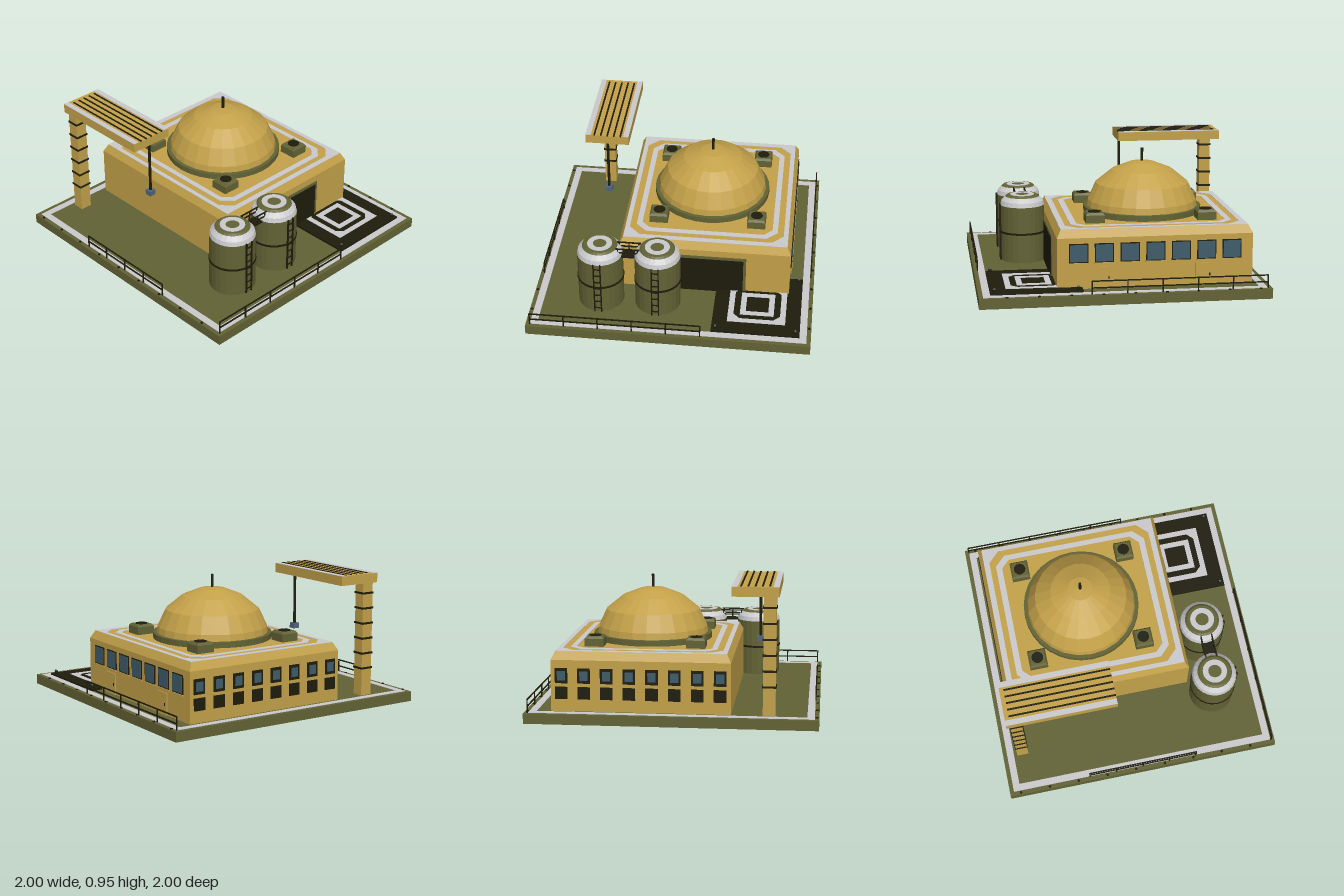
import * as THREE from 'three';

const mat = (name, color) => Object.assign(new THREE.MeshStandardMaterial({ color }), { name });

export function createModel() {
  const olive = mat('olive', 0x626235), gold = mat('gold', 0xc3a149), pale = mat('pale grey', 0xcacacd),
    dark = mat('near black', 0x1e1c0b), glass = mat('window blue', 0x3f5c6a), steel = mat('hook steel', 0x52647a),
    under = mat('underside brown', 0x4c482a);
  const model = new THREE.Group();
  model.name = 'facility';

  const add = (parent, name, geo, m, x = 0, y = 0, z = 0) => {
    const mesh = new THREE.Mesh(geo, m);
    mesh.name = name;
    mesh.position.set(x, y, z);
    parent.add(mesh);
    return mesh;
  };
  const group = (name, x = 0, y = 0, z = 0) => {
    const g = new THREE.Group();
    g.name = name;
    g.position.set(x, y, z);
    model.add(g);
    return g;
  };
  const box = (parent, name, m, x0, x1, y0, y1, z0, z1) =>
    add(parent, name, new THREE.BoxGeometry(x1 - x0, y1 - y0, z1 - z0), m, (x0 + x1) / 2, (y0 + y1) / 2, (z0 + z1) / 2);
  const faceted = (geo) => {
    const g = geo.index ? geo.toNonIndexed() : geo;
    g.computeVertexNormals();
    return g;
  };
  const lathe = (pts, n = 24) => faceted(new THREE.LatheGeometry(pts.map(p => new THREE.Vector2(...p)), n));
  const cyl = (r, h, n = 24) => faceted(new THREE.CylinderGeometry(r, r, h, n));
  // box whose top face is drawn in, standing on y = 0
  const frustum = (w, h, d, inset) => {
    const g = new THREE.BoxGeometry(w, h, d).translate(0, h / 2, 0), p = g.attributes.position;
    for (let i = 0; i < p.count; i++) if (p.getY(i) > h / 2) {
      p.setX(i, p.getX(i) - Math.sign(p.getX(i)) * inset);
      p.setZ(i, p.getZ(i) - Math.sign(p.getZ(i)) * inset);
    }
    return faceted(g);
  };
  // rectangle outline with corners cut by c
  const outline = (w, d, c) => {
    const a = w / 2, b = d / 2;
    const pts = c ? [[a, -b + c], [a, b - c], [a - c, b], [-a + c, b], [-a, b - c], [-a, -b + c], [-a + c, -b], [a - c, -b]]
      : [[a, -b], [a, b], [-a, b], [-a, -b]];
    return pts.map(p => new THREE.Vector2(...p));
  };
  // upright extrusion of the area between two outlines
  const plateRing = (outer, inner, depth = 0.003) => {
    const s = new THREE.Shape(outline(...outer));
    s.holes.push(new THREE.Path(outline(...inner)));
    return new THREE.ExtrudeGeometry(s, { depth, bevelEnabled: false }).rotateX(-Math.PI / 2);
  };

  // Ground slab, hollow below with a thin rim
  const slab = group('groundSlab');
  add(slab, 'rim', plateRing([2, 2, 0], [1.992, 1.992, 0], 0.07), olive);
  box(slab, 'deck', olive, -0.996, 0.996, 0.064, 0.07, -0.996, 0.996);
  box(slab, 'underside', under, -0.996, 0.996, 0.061, 0.064, -0.996, 0.996);
  add(slab, 'borderStripe', plateRing([1.94, 1.94, 0], [1.84, 1.84, 0]), pale, 0, 0.07, 0);
  for (const z of [-0.985, 0.985]) for (let i = 0; i < 9; i++)
    add(slab, 'stud', cyl(0.01, 0.008, 8), dark, -0.92 + i * 0.2165, 0.072, z);

  // Main hall with bevelled roof edge
  const hall = group('hall', -0.217, 0, -0.21);
  const W = 1.355, D = 1.23;
  box(hall, 'walls', gold, -W / 2, W / 2, 0.07, 0.425, -D / 2, D / 2);
  add(hall, 'roof', frustum(W, 0.055, D, 0.028), gold, 0, 0.425, 0);
  add(hall, 'roofBorder', plateRing([1.298, 1.173, 0], [1.215, 1.107, 0.08]), pale, 0, 0.48, 0);
  add(hall, 'roofStripe', plateRing([1.13, 1.017, 0.075], [1.043, 0.94, 0.06]), pale, 0, 0.48, 0);

  // Back windows and two doors
  const zb = -D / 2;
  for (let i = -3; i <= 3; i++) {
    const x = i * 0.177;
    box(hall, 'windowFrame', dark, x - 0.066, x + 0.066, 0.254, 0.386, zb - 0.006, zb);
    box(hall, 'windowPane', glass, x - 0.059, x + 0.059, 0.261, 0.379, zb - 0.009, zb);
    box(hall, 'windowSill', gold, x - 0.07, x + 0.07, 0.244, 0.254, zb - 0.012, zb);
  }
  for (const x of [0.365, -0.335]) {
    box(hall, 'backDoor', gold, x - 0.06, x + 0.06, 0.07, 0.225, zb - 0.008, zb);
    box(hall, 'doorHandle', dark, x - 0.045, x - 0.037, 0.135, 0.155, zb - 0.012, zb);
  }
  // Side wall bays: a window over a louvre
  const xs = -W / 2;
  for (let i = 0; i < 8; i++) {
    const z = (i - 3.5) * 0.155;
    box(hall, 'sideFrame', dark, xs - 0.006, xs, 0.265, 0.37, z - 0.043, z + 0.043);
    box(hall, 'sidePane', glass, xs - 0.009, xs, 0.285, 0.35, z - 0.028, z + 0.028);
    box(hall, 'sideLouvre', dark, xs - 0.008, xs, 0.155, 0.24, z - 0.043, z + 0.043);
  }
  // Large vehicle door
  box(hall, 'doorFrame', olive, W / 2, W / 2 + 0.008, 0.07, 0.375, -0.3, 0.3);
  box(hall, 'vehicleDoor', dark, W / 2, W / 2 + 0.011, 0.07, 0.355, -0.28, 0.28);

  // Dome
  const dome = group('dome', -0.22, 0, -0.205);
  add(dome, 'domeCollar', cyl(0.423, 0.04, 32), olive, 0, 0.5, 0);
  add(dome, 'domeShell', lathe([[0.4, 0.5], [0.39, 0.565], [0.333, 0.685], [0.216, 0.78], [0.09, 0.83], [0, 0.84]]), gold);
  add(dome, 'mast', cyl(0.01, 0.1, 8), dark, 0, 0.88, 0);

  // Roof vents
  for (const x of [-0.613, 0.172]) for (const z of [-0.56, 0.145]) {
    const vent = group('roofVent', x, 0.48, z);
    add(vent, 'ventBase', frustum(0.132, 0.055, 0.132, 0), olive);
    add(vent, 'ventTop', frustum(0.132, 0.015, 0.132, 0.012), olive, 0, 0.055, 0);
    add(vent, 'ventOpening', cyl(0.043, 0.006, 12), dark, 0, 0.071, 0);
  }

  // Crane
  const crane = group('crane');
  box(crane, 'column', gold, -0.895, -0.812, 0.07, 0.88, 0.62, 0.706);
  for (let i = 0; i < 6; i++) {
    const y = 0.267 + i * 0.108;
    box(crane, 'columnBand', dark, -0.9, -0.807, y - 0.007, y + 0.007, 0.615, 0.711);
  }
  box(crane, 'arm', gold, -0.92, -0.14, 0.882, 0.948, 0.407, 0.725);
  for (const z of [0.407, 0.685]) box(crane, 'armStripe', pale, -0.92, -0.14, 0.948, 0.951, z, z + 0.04);
  for (let i = 0; i < 5; i++) {
    const z = 0.468 + i * 0.048;
    box(crane, 'armSlat', dark, -0.89, -0.14, 0.945, 0.952, z - 0.006, z + 0.006);
  }
  add(crane, 'cable', cyl(0.01, 0.4, 8), dark, -0.168, 0.685, 0.566);
  box(crane, 'hookBlock', steel, -0.193, -0.143, 0.452, 0.49, 0.541, 0.591);

  // Storage tanks with ladders
  for (const z of [0.105, 0.512]) {
    const tank = group('tank', 0.62, 0, z);
    add(tank, 'tankBody', lathe([[0.162, 0.07], [0.162, 0.48]]), olive);
    add(tank, 'tankShoulder', lathe([[0.162, 0.48], [0.154, 0.512], [0.125, 0.542]]), pale);
    add(tank, 'tankCap', lathe([[0.125, 0.542], [0.11, 0.554], [0, 0.554]]), olive);
    add(tank, 'capRing', lathe([[0.088, 0.553], [0.088, 0.557], [0.048, 0.557], [0.048, 0.553]]), pale);
    add(tank, 'tankBand', cyl(0.167, 0.014), dark, 0, 0.283, 0);
    for (const s of [-0.024, 0.024]) box(tank, 'ladderRail', dark, 0.158, 0.17, 0.07, 0.485, s - 0.004, s + 0.004);
    for (let i = 0; i < 7; i++) box(tank, 'ladderRung', dark, 0.16, 0.168, 0.1 + i * 0.057, 0.107 + i * 0.057, -0.024, 0.024);
  }

  // Walkway joining the tanks
  const walk = group('walkway');
  box(walk, 'walkwayFloor', dark, 0.583, 0.663, 0.472, 0.484, 0.22, 0.4);
  for (const x of [0.583, 0.663]) {
    for (const y of [0.515, 0.547]) box(walk, 'walkwayRail', dark, x - 0.004, x + 0.004, y - 0.004, y + 0.004, 0.225, 0.395);
    for (const z of [0.24, 0.31, 0.38]) box(walk, 'walkwayPost', dark, x - 0.004, x + 0.004, 0.48, 0.547, z - 0.004, z + 0.004);
  }

  // Landing pad
  const pad = group('landingPad', 0.605, 0, -0.61);
  box(pad, 'padPlate', dark, -0.315, 0.315, 0.07, 0.085, -0.31, 0.31);
  add(pad, 'padOuterMark', plateRing([0.41, 0.41, 0], [0.33, 0.33, 0.045]), pale, 0, 0.085, 0);
  add(pad, 'padInnerMark', plateRing([0.24, 0.24, 0], [0.16, 0.16, 0]), pale, 0.003, 0.085, 0);
  for (const [x, z] of [[-0.285, -0.28], [0.285, -0.28], [0.285, 0.28]]) {
    add(pad, 'padLamp', cyl(0.012, 0.02, 8), dark, x, 0.095, z);
    add(pad, 'lampGlass', cyl(0.008, 0.008, 8), steel, x, 0.108, z);
  }

  // Perimeter railings, each built along x then turned
  const railing = (x, z, length, bays, turn) => {
    const g = group('railing', x, 0, z);
    g.rotation.y = turn;
    const h = length / 2;
    for (const y of [0.115, 0.162]) box(g, 'rail', dark, -h, h, y - 0.004, y + 0.004, -0.004, 0.004);
    for (let i = 0; i <= bays; i++) {
      const px = -h + i * length / bays;
      box(g, 'post', dark, px - 0.004, px + 0.004, 0.07, 0.164, -0.004, 0.004);
    }
  };
  railing(0, 0.972, 0.8, 4, 0);
  railing(-0.365, -0.975, 1.21, 5, 0);
  railing(0.973, 0.37, 1.2, 5, Math.PI / 2);

  return model;
}
